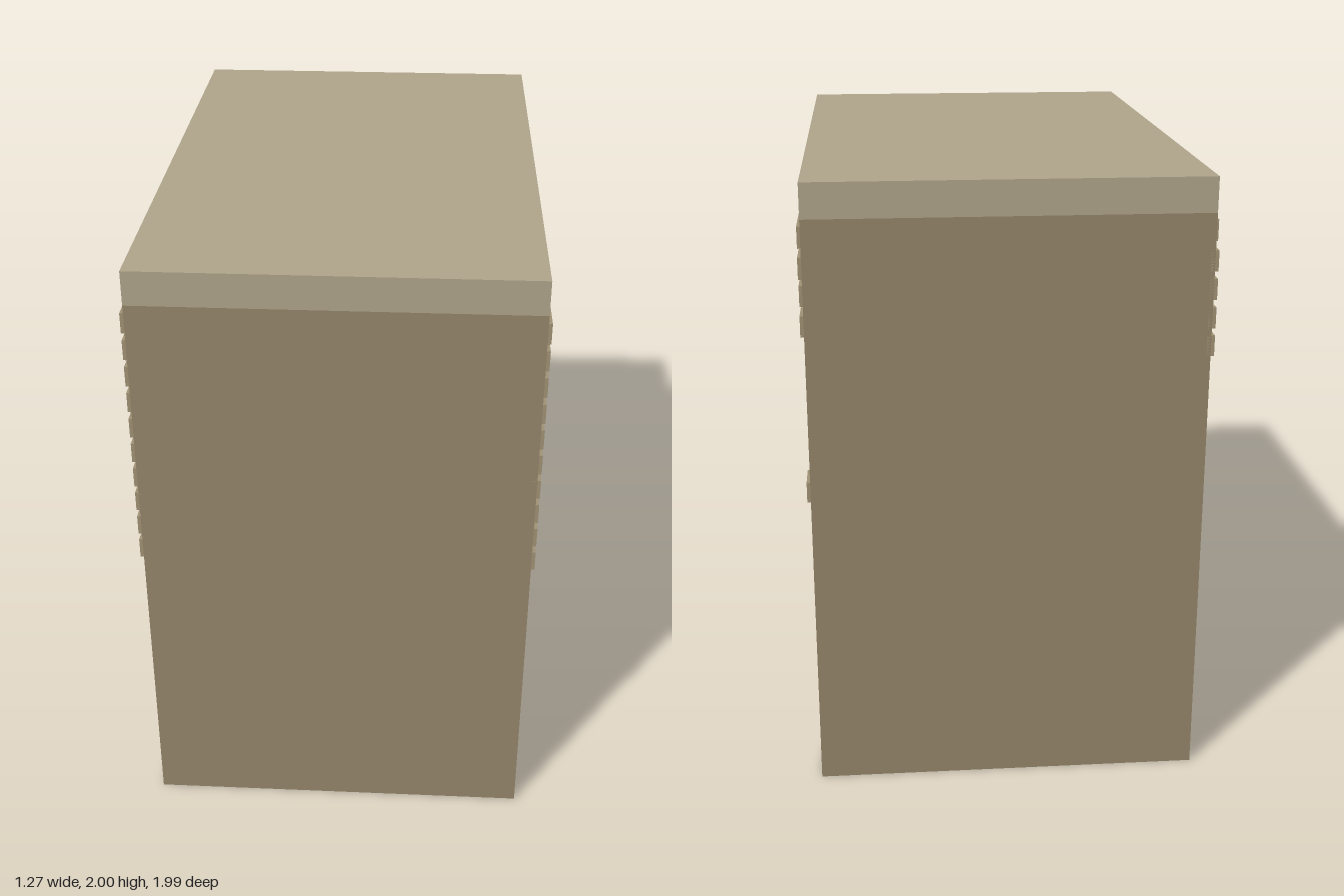
import * as THREE from 'three';

const HALF_X = 0.622, HALF_Z = 0.995, SLAB_Y = 1.89;
const SPRING_Y = 1.13, ARCH_R = 0.83, INNER_RISE = 0.7, OUTER_RISE = 0.76;

const paint = (color) => new THREE.MeshStandardMaterial({ color, flatShading: true });
const stone = paint(0x94856a), trim = paint(0x9f9072), cap = paint(0xafa48b), brick = paint(0xa09174);

// Points (z, y) on a half-elliptical arch, from angle a to b in steps of 1/16 of the half turn
function archPoints(rise, from, to) {
  const pts = [], step = Math.sign(to - from);
  for (let i = from; i !== to + step; i += step) {
    const t = (i / 16) * Math.PI;
    pts.push(new THREE.Vector2(ARCH_R * Math.cos(t), SPRING_Y + rise * Math.sin(t)));
  }
  return pts;
}

// Extrude a (z, y) outline across the full width of the arch
function acrossWidth(points) {
  const depth = 2 * HALF_X;
  const geo = new THREE.ExtrudeGeometry(new THREE.Shape(points), { depth, bevelEnabled: false });
  return geo.translate(0, 0, -depth / 2).rotateY(-Math.PI / 2);
}

function addMesh(parent, name, geometry, material) {
  const mesh = new THREE.Mesh(geometry, material);
  mesh.name = name;
  parent.add(mesh);
  return mesh;
}

// Bricks as [row from the top, outer z, inner z]
const RIGHT_BRICKS = [
  [0, 0.995, 0.795], [0, 0.79, 0.597], [1, 0.995, 0.955], [1, 0.95, 0.745],
  [2, 0.995, 0.85], [3, 0.995, 0.85], [4, 0.995, 0.955], [4, 0.95, 0.785],
  [5, 0.995, 0.955], [6, 0.995, 0.875], [7, 0.995, 0.925], [8, 0.995, 0.955], [9, 0.995, 0.92],
  [0, -0.975, -0.773], [0, -0.763, -0.62], [1, -0.995, -0.805], [1, -0.8, -0.58],
  [2, -0.975, -0.81], [3, -0.995, -0.79], [9, -0.995, -0.885],
];
const LEFT_BRICKS = [
  [0, -0.97, -0.735], [0, -0.725, -0.49], [1, -0.995, -0.81], [1, -0.8, -0.63],
  [2, -0.995, -0.8], [3, -0.995, -0.85], [4, -0.995, -0.88],
  [0, 0.995, 0.735], [0, 0.725, 0.5], [1, 0.995, 0.8], [1, 0.79, 0.64],
  [2, 0.995, 0.82], [3, 0.995, 0.8], [4, 0.995, 0.87], [5, 0.995, 0.93],
  [6, 0.995, 0.88], [7, 0.995, 0.94], [8, 0.995, 0.9], [9, 0.995, 0.92],
];

function addBricks(parent, name, list, side) {
  const group = new THREE.Group();
  group.name = name;
  for (const [row, z0, z1] of list) {
    const geo = new THREE.BoxGeometry(0.024, 0.066, Math.abs(z0 - z1));
    addMesh(group, 'brick', geo, brick)
      .position.set(side * (HALF_X - 0.001), 1.832 - row * 0.0895, (z0 + z1) / 2);
  }
  parent.add(group);
}

export function createModel() {
  const model = new THREE.Group();
  model.name = 'archway';

  // Two walls, each a pier with its half of the spandrel
  for (const s of [1, -1]) {
    const curve = archPoints(OUTER_RISE, 0, 8).map((p) => new THREE.Vector2(p.x * s, p.y));
    const outline = [
      new THREE.Vector2(s * HALF_Z, SLAB_Y), new THREE.Vector2(s * HALF_Z, 0),
      new THREE.Vector2(s * ARCH_R, 0), ...curve,
    ];
    addMesh(model, s > 0 ? 'frontWall' : 'backWall', acrossWidth(outline), stone);
  }

  // Crescent lining under the vault, tapering to nothing at the springing
  const lining = [...archPoints(OUTER_RISE, 0, 16), ...archPoints(INNER_RISE, 15, 1)];
  addMesh(model, 'archLining', acrossWidth(lining), trim);

  // Flat slab on top
  const slabHeight = 2 - SLAB_Y;
  addMesh(model, 'topSlab', new THREE.BoxGeometry(2 * HALF_X, slabHeight, 2 * HALF_Z), cap)
    .position.y = SLAB_Y + slabHeight / 2;

  // Raised bricks on both arched faces
  addBricks(model, 'bricksPositiveX', RIGHT_BRICKS, 1);
  addBricks(model, 'bricksNegativeX', LEFT_BRICKS, -1);

  return model;
}
